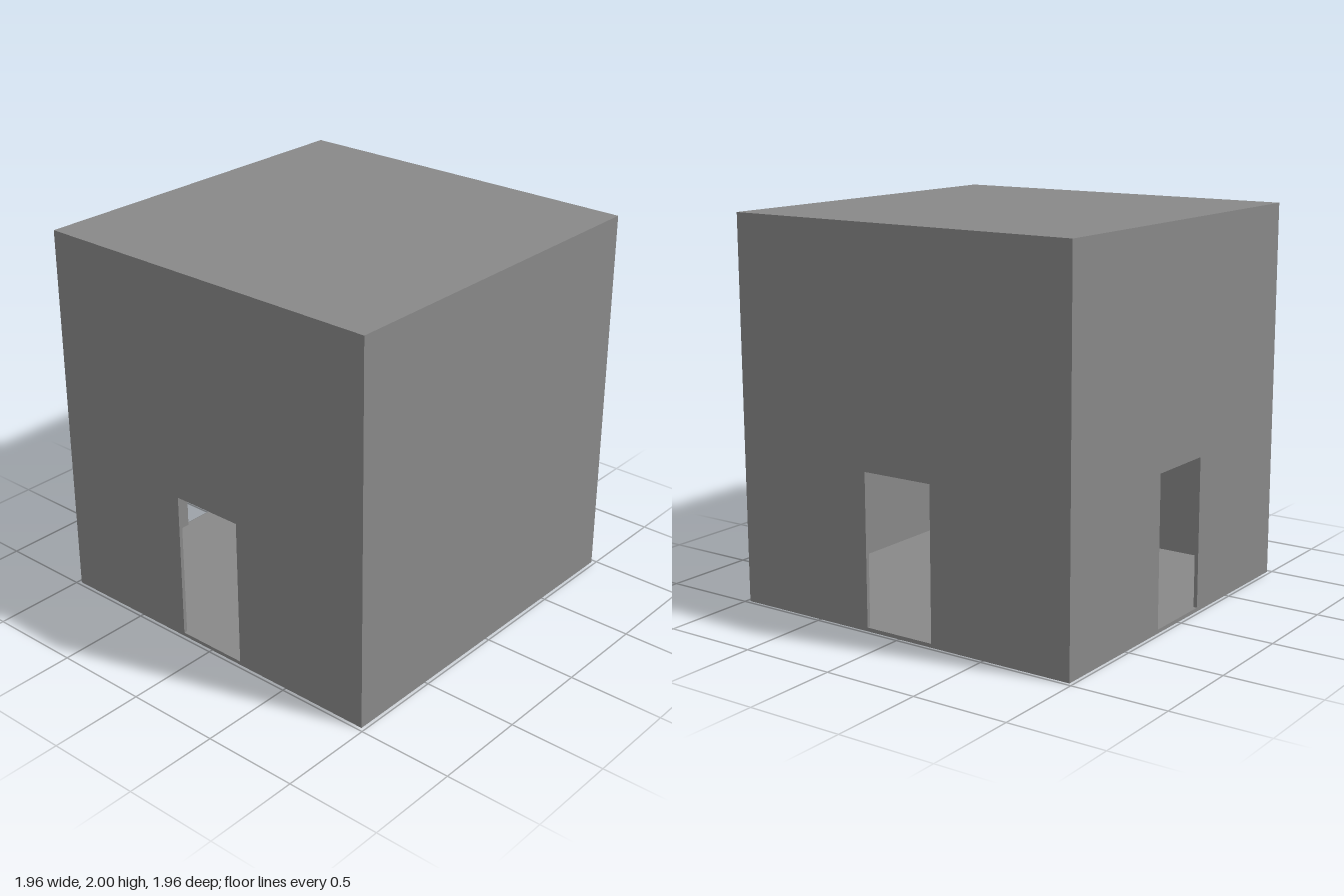
import * as THREE from 'three';

const U = 2 / 5.1;            // model unit
const SIZE = 5 * U;           // outer width, depth and wall height
const T = 0.05 * U;           // thickness of walls and slabs
const DOOR_W = U, DOOR_H = 2 * U;

const material = new THREE.MeshStandardMaterial({ color: 0x888888, flatShading: true });

// Wall panel standing on the floor slab, outer face at +z, optionally with a doorway
function wall(name, width, hasDoor) {
  const w = width / 2, d = DOOR_W / 2;
  const outline = hasDoor
    ? [[-w, 0], [-d, 0], [-d, DOOR_H], [d, DOOR_H], [d, 0], [w, 0], [w, SIZE], [-w, SIZE]]
    : [[-w, 0], [w, 0], [w, SIZE], [-w, SIZE]];
  const shape = new THREE.Shape(outline.map(([x, y]) => new THREE.Vector2(x, y)));
  const geometry = new THREE.ExtrudeGeometry(shape, { depth: T, bevelEnabled: false });
  geometry.translate(0, T, SIZE / 2 - T);
  const mesh = new THREE.Mesh(geometry, material);
  mesh.name = name;
  return mesh;
}

function slab(name, y) {
  const mesh = new THREE.Mesh(new THREE.BoxGeometry(SIZE, T, SIZE), material);
  mesh.name = name;
  mesh.position.y = y;
  return mesh;
}

export function createModel() {
  const room = new THREE.Group();
  room.name = 'room';

  // Floor and roof
  room.add(slab('floor', T / 2), slab('roof', 2 - T / 2));

  // Four walls turned around the centre; side walls fit between front and back
  const walls = [
    ['frontWall', SIZE, false],
    ['leftWall', SIZE - 2 * T, true],
    ['backWall', SIZE, true],
    ['rightWall', SIZE - 2 * T, true],
  ];
  walls.forEach(([name, width, hasDoor], i) => {
    const panel = wall(name, width, hasDoor);
    panel.rotation.y = i * Math.PI / 2;
    room.add(panel);
  });
  return room;
}
